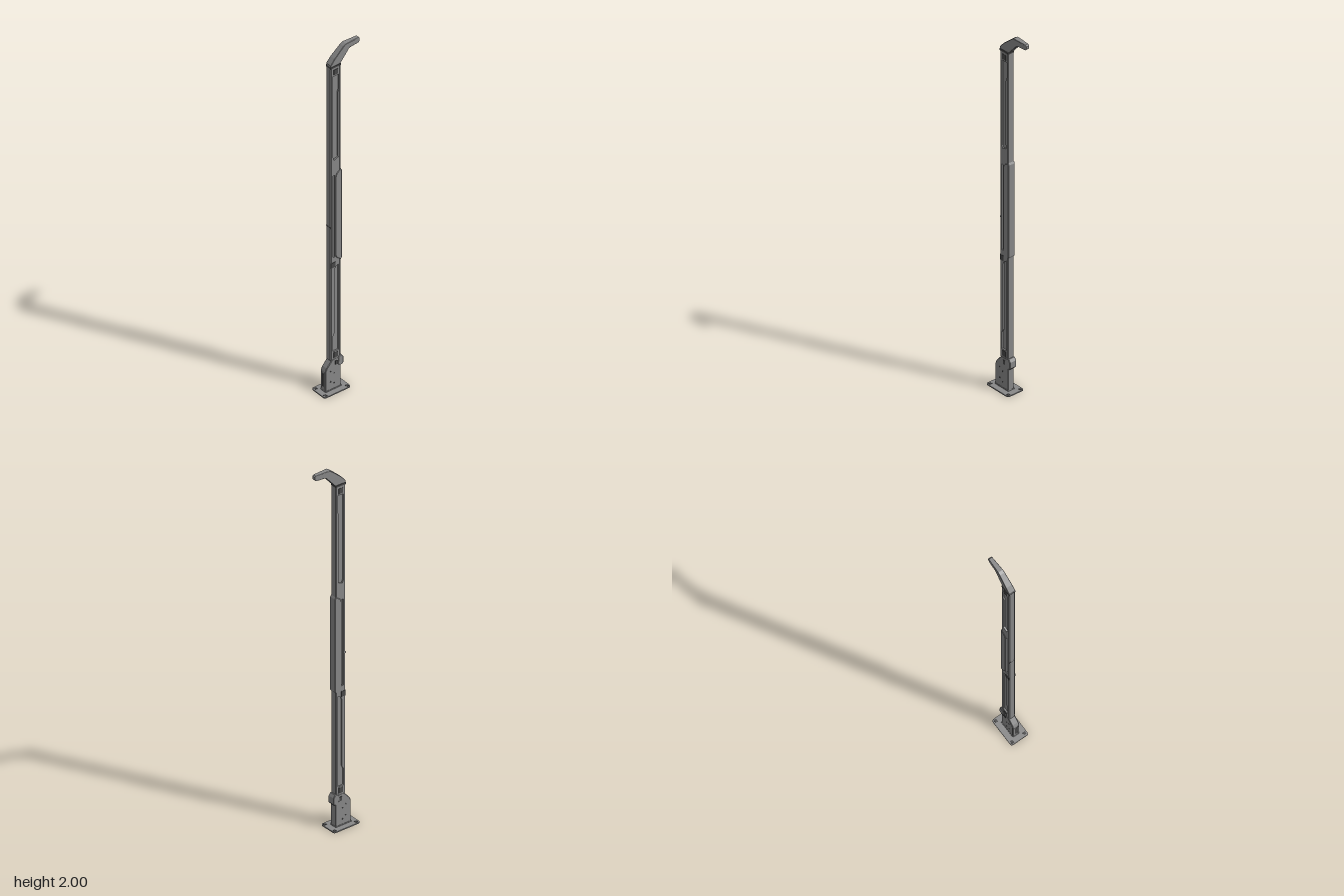
import * as THREE from 'three';

const bodyMaterial = new THREE.MeshStandardMaterial({ color: 0x888888, flatShading: true });
const darkMaterial = new THREE.MeshStandardMaterial({ color: 0x484848, flatShading: true });

// Outline in [z, y], extruded across x from x0 to x1, with optional holes
function sideProfile(points, x0, x1, holes = [], bevel = 0) {
  const toVectors = list => list.map(([z, y]) => new THREE.Vector2(z, y));
  const shape = new THREE.Shape(toVectors(points));
  holes.forEach(h => shape.holes.push(new THREE.Path(toVectors(h))));
  const geometry = new THREE.ExtrudeGeometry(shape, {
    depth: x1 - x0 - 2 * bevel, bevelEnabled: bevel > 0, bevelSize: bevel,
    bevelOffset: -bevel, bevelThickness: bevel, bevelSegments: 1,
  });
  geometry.rotateY(-Math.PI / 2);
  geometry.translate(x1 - bevel, 0, 0);
  return geometry;
}

const rect = (z0, z1, y0, y1) => [[z0, y0], [z1, y0], [z1, y1], [z0, y1]];

export function createModel() {
  const group = new THREE.Group();
  const add = (name, geometry, x = 0, y = 0, z = 0, material = bodyMaterial) => {
    const mesh = new THREE.Mesh(geometry, material);
    mesh.name = name;
    mesh.position.set(x, y, z);
    group.add(mesh);
  };
  const box = (name, w, h, d, x, y, z, material) => add(name, new THREE.BoxGeometry(w, h, d), x, y, z, material);

  // Rounded floor plate, open beneath the foot
  const w = 0.051, z0 = -0.039, z1 = 0.121, r = 0.013;
  const plate = new THREE.Shape();
  plate.moveTo(-w + r, z0).lineTo(w - r, z0);
  plate.quadraticCurveTo(w, z0, w, z0 + r).lineTo(w, z1 - r);
  plate.quadraticCurveTo(w, z1, w - r, z1).lineTo(-w + r, z1);
  plate.quadraticCurveTo(-w, z1, -w, z1 - r).lineTo(-w, z0 + r);
  plate.quadraticCurveTo(-w, z0, -w + r, z0);
  plate.holes.push(new THREE.Path([[-0.017, 0], [-0.017, 0.086], [0.017, 0.086], [0.017, 0]]
    .map(([x, z]) => new THREE.Vector2(x, z))));
  const plateGeometry = new THREE.ExtrudeGeometry(plate, { depth: 0.006, bevelEnabled: false, curveSegments: 4 });
  plateGeometry.rotateX(Math.PI / 2).translate(0, 0.006, 0);
  add('basePlate', plateGeometry);
  for (const x of [-0.037, 0.037])
    for (const z of [-0.026, 0.106]) box('plateBolt', 0.014, 0.003, 0.014, x, 0.0065, z, darkMaterial);

  // Foot bracket, with a slotted front and pins on its cheeks
  box('footCollar', 0.04, 0.006, 0.096, 0, 0.008, 0.043);
  const foot = [[-0.004, 0.006], [0.09, 0.006], [0.09, 0.125], [0.082, 0.142], [0.052, 0.176], [0.044, 0.182], [-0.004, 0.182]];
  add('footBracket', sideProfile(foot, -0.0185, 0.0185, [], 0.003));
  box('footSlot', 0.018, 0.075, 0.003, 0, 0.07, 0.0895, darkMaterial);
  for (const s of [-1, 1]) {
    box('footSlotRail', 0.004, 0.085, 0.004, s * 0.011, 0.07, 0.0895);
    for (const [y, z] of [[0.115, 0.058], [0.1, 0.038], [0.055, 0.058], [0.04, 0.038]]) {
      const pin = new THREE.CylinderGeometry(0.004, 0.004, 0.002, 8).rotateZ(Math.PI / 2);
      add('footPin', pin, s * 0.0188, y, z, darkMaterial);
    }
    box('latchPin', 0.003, 0.022, 0.014, s * 0.0198, 0.156, 0.025, darkMaterial);
  }

  // Hinge latch at the back of the bracket
  const latch = [[0.016, 0.14], [0.004, 0.13], [-0.012, 0.13], [-0.018, 0.138], [-0.018, 0.172], [-0.008, 0.187], [0.012, 0.187]];
  add('hingeLatch', sideProfile(latch, -0.0205, 0.0205, [], 0.003));

  // Post core with chamfered spines along its front and back
  box('postCore', 0.02, 1.73, 0.052, 0, 1.04, 0.0275);
  add('frontSpine', sideProfile(rect(0.045, 0.058, 0.175, 1.905), -0.0185, 0.0185, [], 0.005));
  add('backSpine', sideProfile(rect(-0.003, 0.007, 0.175, 1.905), -0.0185, 0.0185, [], 0.003));
  box('frontSeam', 0.034, 0.006, 0.012, 0, 0.958, 0.0525, darkMaterial);

  // Cheeks framing the recessed panels
  const upperPanel = [[0.012, 1.36], [0.037, 1.35], [0.043, 1.365], [0.043, 1.845], [0.007, 1.845], [0.007, 1.76], [0.015, 1.74], [0.015, 1.38]];
  const lowerPanel = [[0.01, 0.225], [0.045, 0.225], [0.045, 0.315], [0.034, 0.335], [0.034, 0.705], [0.028, 0.72], [0.01, 0.73]];
  const middleSlot = rect(0.033, 0.044, 0.78, 1.26);
  for (const s of [-1, 1]) {
    const side = s * 0.0135;
    add('postCheek', sideProfile(rect(0.001, 0.052, 0.18, 1.9), side - 0.0045, side + 0.0045,
      [lowerPanel, middleSlot, upperPanel]));
    // Raised square catches
    for (const [y, z] of [[0.203, 0.027], [0.735, 0.043], [1.868, 0.027]])
      box('sideCatch', 0.004, 0.03, 0.026, s * 0.0172, y, z, darkMaterial);
  }

  // Middle grip sleeve
  const grip = [[0.03, 0.785], [0.022, 0.77], [-0.003, 0.75], [-0.009, 0.76], [-0.009, 1.275], [-0.003, 1.285], [0.022, 1.27], [0.03, 1.25]];
  add('gripSleeve', sideProfile(grip, -0.0205, 0.0205, [], 0.003));

  // Top collar and the tapering hooked arm
  box('topCollar', 0.038, 0.01, 0.062, 0, 1.899, 0.0275, darkMaterial);
  const arm = [[-0.004, 1.903], [0.058, 1.903], [0.058, 1.914], [0.033, 1.943], [-0.023, 1.992],
    [-0.037, 2], [-0.118, 2], [-0.124, 1.994], [-0.124, 1.978], [-0.117, 1.971], [-0.06, 1.967]];
  const armGeometry = sideProfile(arm, -0.0185, 0.0185, [], 0.002);
  const p = armGeometry.attributes.position;
  for (let i = 0; i < p.count; i++) {
    const t = THREE.MathUtils.clamp((0.05 - p.getZ(i)) / 0.174, 0, 1);
    p.setX(i, p.getX(i) * (1 - 0.46 * t));
  }
  armGeometry.computeVertexNormals();
  add('hookArm', armGeometry);

  return group;
}
